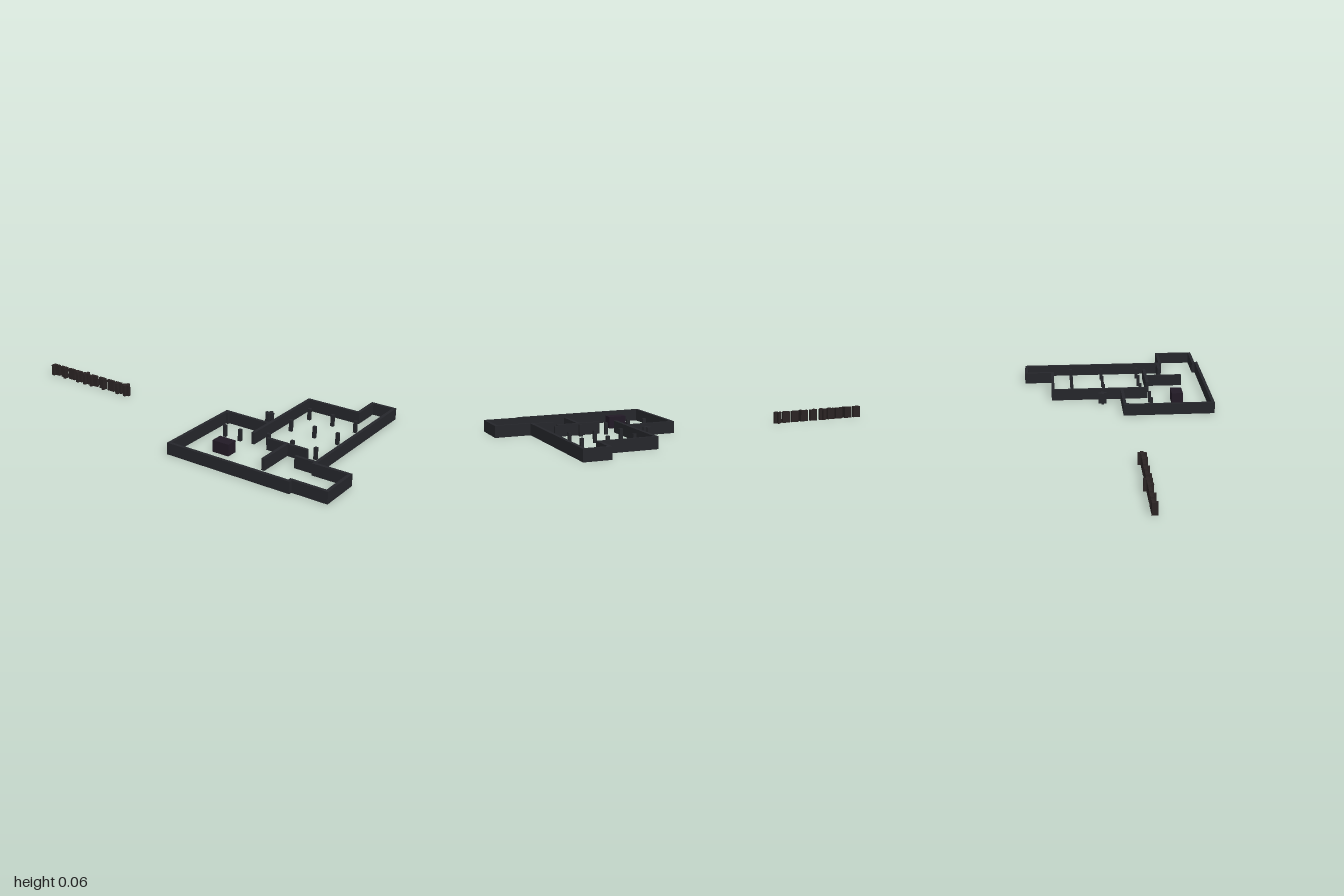
import * as THREE from 'three';

const H = 0.06; // common height
const T = 0.016; // wall thickness

const wallMat = new THREE.MeshStandardMaterial({ color: 0x25262b });
const blockMat = new THREE.MeshStandardMaterial({ color: 0x221a26 });
const sampleMat = new THREE.MeshStandardMaterial({ color: 0x2a2323 });

function box(name, x, z, w, d, mat = wallMat) {
  const mesh = new THREE.Mesh(new THREE.BoxGeometry(w, H, d), mat);
  mesh.position.set(x, H / 2, z);
  mesh.name = name;
  return mesh;
}

// Axis-aligned wall between two centre-line points, with square ends
function wall(name, [x1, z1], [x2, z2]) {
  return box(name, (x1 + x2) / 2, (z1 + z2) / 2, Math.abs(x2 - x1) + T, Math.abs(z2 - z1) + T);
}

function wallRun(name, points) {
  const group = new THREE.Group();
  group.name = name;
  for (let i = 1; i < points.length; i++) group.add(wall(name + 'Segment', points[i - 1], points[i]));
  return group;
}

// Upright prism with a flat, T, L or plus plan: arms reach out from a bar along x
function profilePiece(name, x, z, kind, mat) {
  const S = 0.043, half = S / 2;
  const outline = {
    bar: null,
    plus: [0, 0, S],
    tee: [0, half / 2, half],
    leftEll: [-half + T / 2, half / 2, half],
    rightEll: [half - T / 2, half / 2, half],
  }[kind];
  const group = new THREE.Group();
  group.name = name;
  group.add(box('bar', x, z, S, T * 0.9, mat));
  if (outline) group.add(box('arm', x + outline[0], z + outline[1], T * 0.9, outline[2], mat));
  return group;
}

export function createModel() {
  const model = new THREE.Group();
  model.name = 'floorPlan';

  // Outer walls
  model.add(wallRun('outerWall', [
    [0.408, 0.028], [0.158, 0.028], [0.158, 0.492], [0.812, 0.492], [0.812, 0.475],
    [0.992, 0.475], [0.992, 0.28], [0.812, 0.28], [0.812, -0.492], [0.692, -0.492],
    [0.692, -0.345], [0.408, -0.345], [0.408, 0.162],
  ]));

  // Inner partitions
  model.add(wall('crossPartition', [0.502, 0.176], [0.706, 0.176]));
  model.add(wall('stemPartition', [0.602, 0.176], [0.602, 0.369]));
  model.add(wall('sidePartition', [0.71, 0.264], [0.812, 0.264]));

  // Solid block on the floor of the front room
  model.add(box('block', 0.348, 0.321, 0.09, 0.06, blockMat));

  // Pillars: a grid in the large room and a pair in the front room
  const pillars = new THREE.Group();
  pillars.name = 'pillars';
  for (const x of [0.473, 0.606, 0.733])
    for (const z of [-0.24, -0.067, 0.134]) pillars.add(box('pillar', x, z, T, T));
  for (const x of [0.25, 0.337]) pillars.add(box('pillar', x, 0.174, T, T));
  pillars.add(box('cornerPillar', 0.17, 0.04, T, T));
  model.add(pillars);

  // Free-standing cross column outside
  model.add(profilePiece('crossColumn', 0.34, -0.08, 'plus', wallMat));

  // Row of loose pieces: the same five shapes twice
  const row = new THREE.Group();
  row.name = 'looseRow';
  const kinds = ['leftEll', 'rightEll', 'bar', 'tee', 'plus'];
  const centres = [-0.9785, -0.921, -0.863, -0.811, -0.759, -0.698, -0.64, -0.581, -0.527, -0.475];
  centres.forEach((x, i) => row.add(profilePiece('loosePiece', x, 0.059, kinds[i % 5], sampleMat)));
  model.add(row);

  return model;
}
